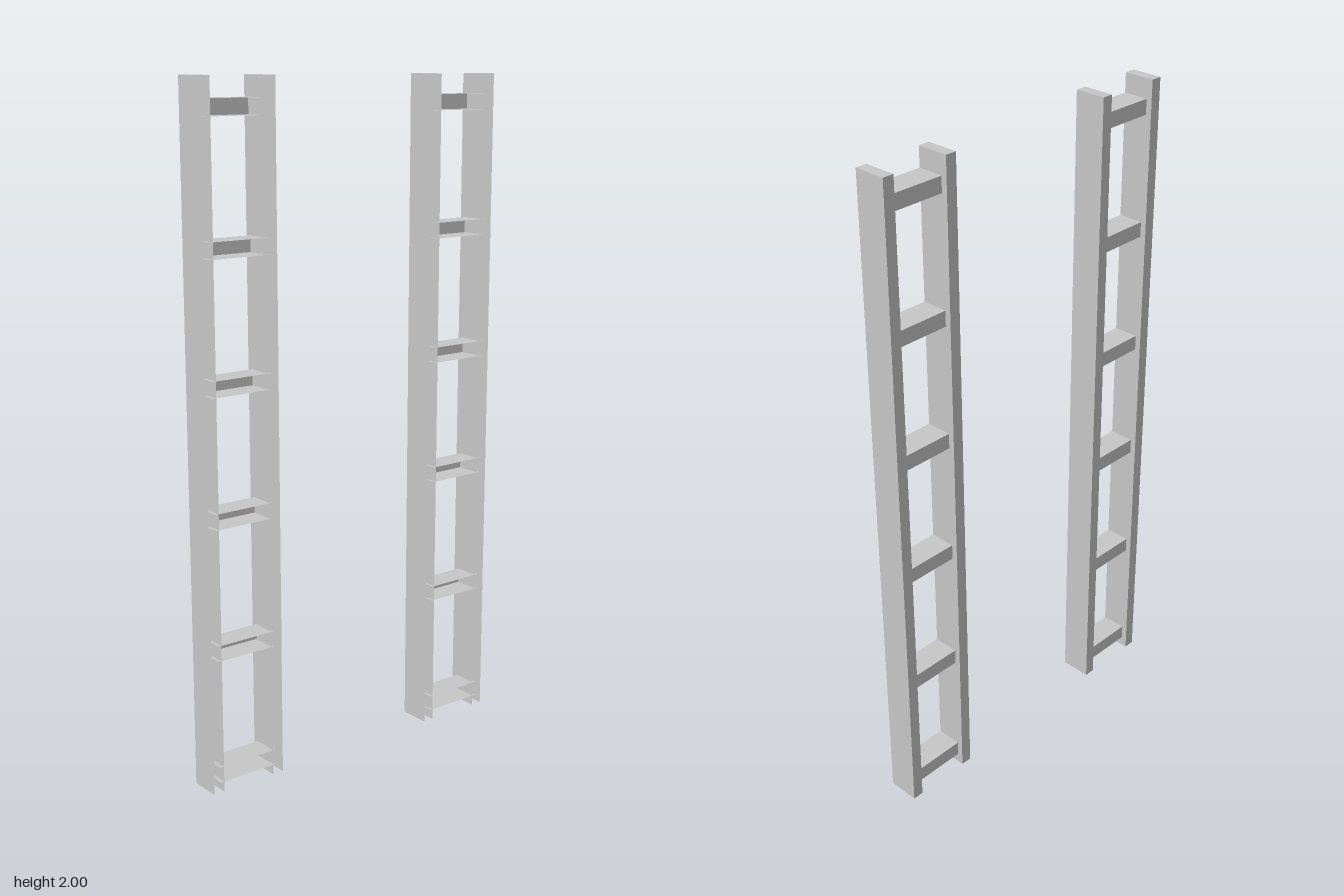
import * as THREE from 'three';

const metal = new THREE.MeshStandardMaterial({ color: 0xc7c7c7, side: THREE.DoubleSide });
metal.name = 'light grey metal';

// Thin sheet folded from a box: the named sides are left open.
function foldedSheet(name, [x0, x1], [y0, y1], [z0, z1], open) {
  const box = new THREE.BoxGeometry(x1 - x0, y1 - y0, z1 - z0);
  const sides = ['+x', '-x', '+y', '-y', '+z', '-z'];
  const index = Array.from(box.index.array);
  box.setIndex(sides.flatMap((s, i) => (open.includes(s) ? [] : index.slice(i * 6, i * 6 + 6))));
  box.clearGroups();
  box.translate((x0 + x1) / 2, (y0 + y1) / 2, (z0 + z1) / 2);
  const mesh = new THREE.Mesh(box, metal);
  mesh.name = name;
  return mesh;
}

// One ladder-like post: two rails joined by rungs, all open towards +x.
function makePost(name, side) {
  const post = new THREE.Group();
  post.name = name;
  const span = (a, b) => (side > 0 ? [a, b] : [-b, -a]);

  // Upright rails, capped on top and open below
  post.add(foldedSheet('innerRail', [-0.048, 0.048], [0, 2], span(0.276, 0.31), ['+x', '-y']));
  post.add(foldedSheet('outerRail', [-0.048, 0.048], [0, 2], span(0.482, 0.516), ['+x', '-y']));

  // Rungs: channels whose ends reach into the rails
  for (const y of [0.055, 0.423, 0.807, 1.178, 1.55, 1.919]) {
    post.add(foldedSheet('rung', [-0.03, 0.048], [y - 0.023, y + 0.023], span(0.302, 0.493), ['+x', '+z', '-z']));
  }
  return post;
}

export function createModel() {
  const model = new THREE.Group();
  model.name = 'ladderPosts';
  model.add(makePost('frontPost', 1), makePost('backPost', -1));
  return model;
}
